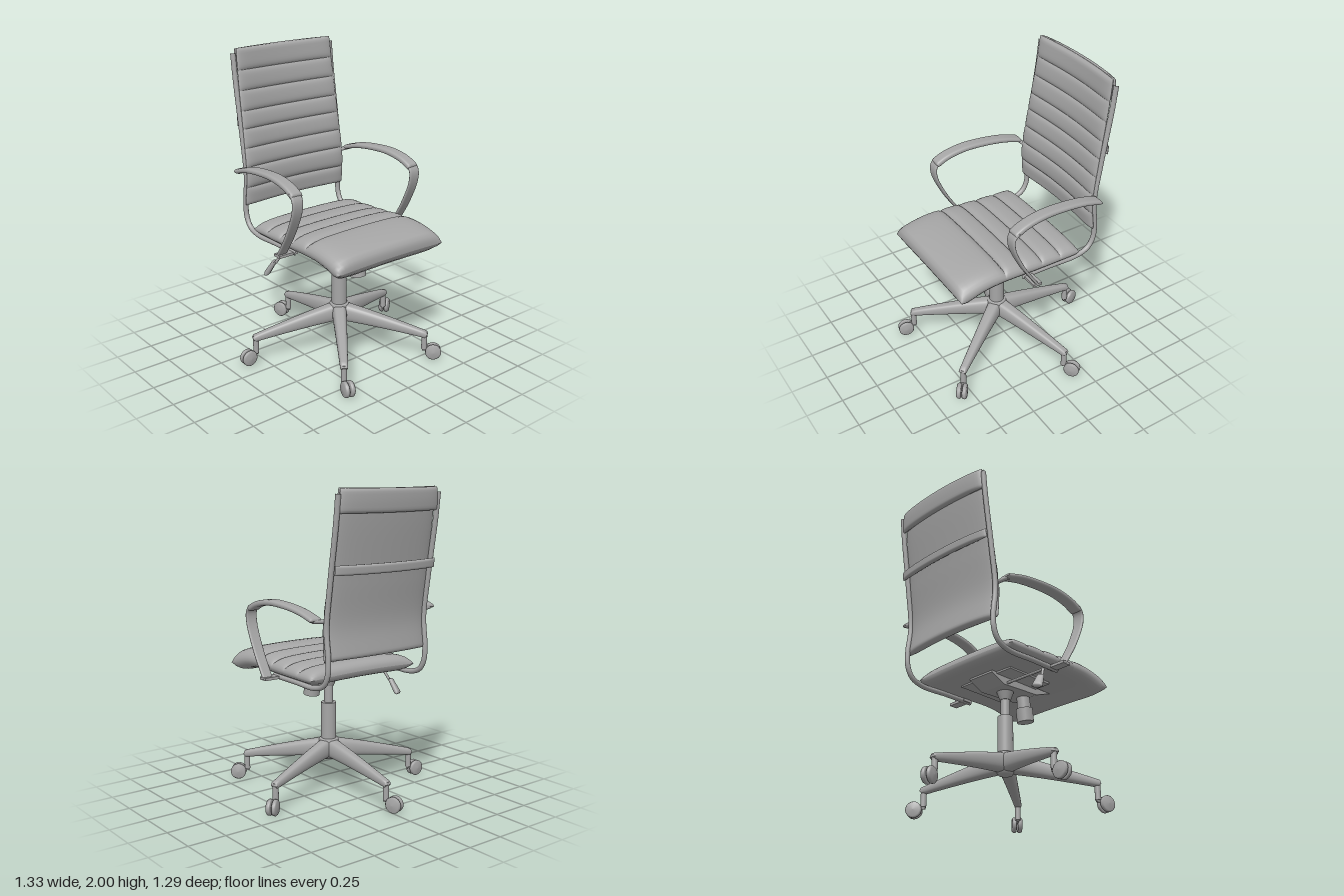
import * as THREE from 'three';

const grey = new THREE.MeshStandardMaterial({ color: 0xa6a6a6 });
grey.name = 'plain grey';

function add(parent, name, geometry, x = 0, y = 0, z = 0) {
  const mesh = new THREE.Mesh(geometry, grey);
  mesh.name = name;
  mesh.position.set(x, y, z);
  parent.add(mesh);
  return mesh;
}

const curveYZ = (pts) => new THREE.CatmullRomCurve3(pts.map(([y, z]) => new THREE.Vector3(0, y, z)));

// Padded band swept along a path of [y, z] points. Half-width and half-thicknesses
// run from start to end; seams are the path fractions where the upper face is stitched.
function band(pts, { w, top, bottom = top, seams = [], bow = 0, edge = 8, round = 0.05, depth = 0.4, ring = 48, steps = 12 }) {
  const path = curveYZ(pts);
  const length = path.getLength();
  const lerp = THREE.MathUtils.lerp;
  const xAxis = new THREE.Vector3(1, 0, 0);
  const stops = [0, ...seams, 1];
  const us = [0];
  for (let p = 0; p < stops.length - 1; p++)
    for (let k = 1; k <= steps; k++)
      us.push(lerp(stops[p], stops[p + 1], (1 - Math.cos(Math.PI * k / steps)) / 2));
  const pos = [], index = [];
  us.forEach((u, i) => {
    const c = path.getPointAt(u);
    const n = path.getTangentAt(u).cross(xAxis);
    const end = Math.min(1, Math.min(u, 1 - u) * length / round);
    const taper = Math.sqrt(Math.max(0, 1 - (1 - end) ** 2));
    const near = Math.min(9, ...seams.map((s) => Math.abs(u - s) * length));
    const groove = 1 - depth * Math.exp(-near / 0.014);
    for (let j = 0; j < ring; j++) {
      const a = j / ring * Math.PI * 2;
      const k = Math.cos(a);
      const up = Math.sin(a) >= 0;
      const side = Math.sqrt(Math.max(0, 1 - Math.abs(k) ** edge));
      const t = up ? lerp(top[0], top[1], u) * groove : -lerp(bottom[0], bottom[1], u);
      const h = t * side * taper + bow * k * k;
      pos.push(k * lerp(w[0], w[1], u), c.y + n.y * h, c.z + n.z * h);
      if (i < us.length - 1) {
        const p = i * ring + j, q = i * ring + (j + 1) % ring;
        index.push(p, q, p + ring, q, q + ring, p + ring);
      }
    }
  });
  const g = new THREE.BufferGeometry();
  g.setAttribute('position', new THREE.Float32BufferAttribute(pos, 3));
  g.setIndex(index);
  g.computeVertexNormals();
  return g;
}

// Straight round bar between two points
function rod(parent, name, a, b, r0, r1 = r0) {
  const from = new THREE.Vector3(...a), dir = new THREE.Vector3(...b).sub(from);
  const mesh = add(parent, name, new THREE.CylinderGeometry(r1, r0, dir.length(), 24));
  mesh.position.copy(from).addScaledVector(dir, 0.5);
  mesh.quaternion.setFromUnitVectors(new THREE.Vector3(0, 1, 0), dir.normalize());
  return mesh;
}

const lathe = (pts) => new THREE.LatheGeometry(pts.map(([r, y]) => new THREE.Vector2(r, y)), 28);

function buildBase(chair) {
  const base = new THREE.Group();
  base.name = 'base';
  base.position.z = 0.06;
  chair.add(base);
  // Hub and gas column
  add(base, 'hub', lathe([[0, 0.2], [0.045, 0.2], [0.062, 0.23], [0.068, 0.32], [0.06, 0.34], [0, 0.345]]));
  add(base, 'outerColumn', new THREE.CylinderGeometry(0.05, 0.05, 0.26, 32), 0, 0.455, 0);
  add(base, 'innerColumn', new THREE.CylinderGeometry(0.03, 0.03, 0.16, 24), 0, 0.65, 0);
  add(base, 'columnCollar', new THREE.CylinderGeometry(0.055, 0.035, 0.055, 24), 0, 0.725, 0);

  const leg = band([[0.277, 0.02], [0.25, 0.2], [0.205, 0.45], [0.174, 0.605]],
    { w: [0.05, 0.024], top: [0.062, 0.022], edge: 4, round: 0.012, ring: 32 });
  const wheel = lathe([[0, -0.016], [0.046, -0.016], [0.052, -0.01], [0.052, 0.004], [0.044, 0.013], [0, 0.017]]);
  const headings = [200, 270, 345, 50, 127];
  headings.forEach((heading, k) => {
    const angle = Math.PI + k * Math.PI * 0.4;
    add(base, 'leg', leg).rotation.y = angle;
    // Swivelling twin-wheel caster
    const caster = new THREE.Group();
    caster.name = 'caster';
    caster.position.set(Math.sin(angle) * 0.585, 0, Math.cos(angle) * 0.585);
    caster.rotation.y = THREE.MathUtils.degToRad(heading);
    base.add(caster);
    add(caster, 'casterStem', new THREE.CylinderGeometry(0.019, 0.019, 0.12, 20), 0, 0.13, 0);
    add(caster, 'casterFork', new THREE.BoxGeometry(0.014, 0.03, 0.075), 0, 0.072, 0.025);
    for (const s of [-1, 1])
      add(caster, 'wheel', wheel, s * 0.02, 0.052, 0.06).rotation.z = -s * Math.PI / 2;
  });
}

function buildMechanism(chair) {
  // Tilt housing under the seat
  const shape = new THREE.Shape([[0.38, 0.812], [0.25, 0.765], [-0.05, 0.75], [-0.16, 0.8], [-0.16, 0.812]]
    .map(([z, y]) => new THREE.Vector2(z, y)));
  const housing = add(chair, 'tiltHousing', new THREE.ExtrudeGeometry(shape, { depth: 0.2, bevelEnabled: false }), 0.1);
  housing.rotation.y = -Math.PI / 2;
  add(chair, 'mountPlate', new THREE.BoxGeometry(0.44, 0.014, 0.36), 0, 0.808, 0.06);
  rod(chair, 'tensionKnob', [0, 0.6, 0.25], [0, 0.69, 0.238], 0.055, 0.055);
  rod(chair, 'knobNeck', [0, 0.69, 0.238], [0, 0.78, 0.226], 0.045, 0.042);
  // Height lever with paddle
  rod(chair, 'leverRod', [0.1, 0.768, -0.02], [-0.4, 0.768, -0.02], 0.009);
  rod(chair, 'leverBend', [-0.4, 0.77, -0.02], [-0.425, 0.7, -0.06], 0.009);
  const paddle = add(chair, 'leverPaddle', band([[0.06, 0], [0, 0], [-0.06, 0]],
    { w: [0.02, 0.034], top: [0.014, 0.018], edge: 4, round: 0.015, ring: 24 }), -0.437, 0.657, -0.1);
  paddle.rotation.set(0.65, 0.5, -0.2);
}

function buildSeatAndBack(chair) {
  add(chair, 'seat', band([[0.862, -0.31], [0.872, 0], [0.885, 0.3], [0.873, 0.43], [0.832, 0.578]],
    { w: [0.418, 0.428], top: [0.055, 0.075], bottom: [0.048, 0.075], seams: [0.163, 0.321, 0.468, 0.627], bow: -0.012, round: 0.06 }));
  add(chair, 'backrest', band([[2, -0.55], [1.8, -0.525], [1.45, -0.47], [1.18, -0.435], [0.985, -0.45]],
    { w: [0.376, 0.405], top: [0.026, 0.034], bottom: [0.02, 0.026], bow: 0.03, round: 0.025, depth: 0.55,
      seams: [0.138, 0.266, 0.394, 0.507, 0.63, 0.749, 0.877] }));
  add(chair, 'headBand', band([[2, -0.566], [1.93, -0.566], [1.855, -0.558]],
    { w: [0.378, 0.386], top: [0.022, 0.022], bow: 0.03, round: 0.02 }));
  add(chair, 'backCrossbar', band([[1.56, -0.54], [1.53, -0.538], [1.5, -0.535]],
    { w: [0.392, 0.392], top: [0.018, 0.018], bow: 0.03, round: 0.012 }));
}

function buildSide(chair, s) {
  const side = new THREE.Group();
  side.name = s > 0 ? 'leftSide' : 'rightSide';
  chair.add(side);
  // Frame rail runs down the back and curls under the seat
  const rail = curveYZ([[1.97, -0.535], [1.8, -0.515], [1.45, -0.46], [1.18, -0.425], [1.0, -0.442],
    [0.9, -0.435], [0.835, -0.395], [0.805, -0.31], [0.808, -0.1], [0.81, 0.12]]);
  add(side, 'frameRail', new THREE.TubeGeometry(rail, 80, 0.017, 12), s * 0.39);
  // Arm pad and its supporting strap
  add(side, 'armPad', band([[1.235, -0.41], [1.272, -0.28], [1.293, -0.12], [1.296, 0.03], [1.272, 0.16], [1.235, 0.24]],
    { w: [0.042, 0.042], top: [0.015, 0.02], edge: 6, round: 0.015, ring: 32, steps: 30 }), s * 0.465).rotation.y = s * 0.03;
  add(side, 'armStrap', band([[1.255, 0.215], [1.215, 0.247], [1.14, 0.245], [0.97, 0.172], [0.87, 0.112], [0.805, 0.07]],
    { w: [0.04, 0.036], top: [0.009, 0.009], edge: 10, round: 0.008, ring: 24, steps: 30 }), s * 0.475);
  add(side, 'strapFoot', new THREE.BoxGeometry(0.14, 0.018, 0.06), s * 0.44, 0.809, 0.075);
  rod(side, 'armConnector', [s * 0.385, 1.225, -0.41], [s * 0.47, 1.232, -0.395], 0.013);
}

export function createModel() {
  const chair = new THREE.Group();
  chair.name = 'officeChair';
  buildBase(chair);
  buildMechanism(chair);
  buildSeatAndBack(chair);
  for (const s of [-1, 1]) buildSide(chair, s);
  return chair;
}
